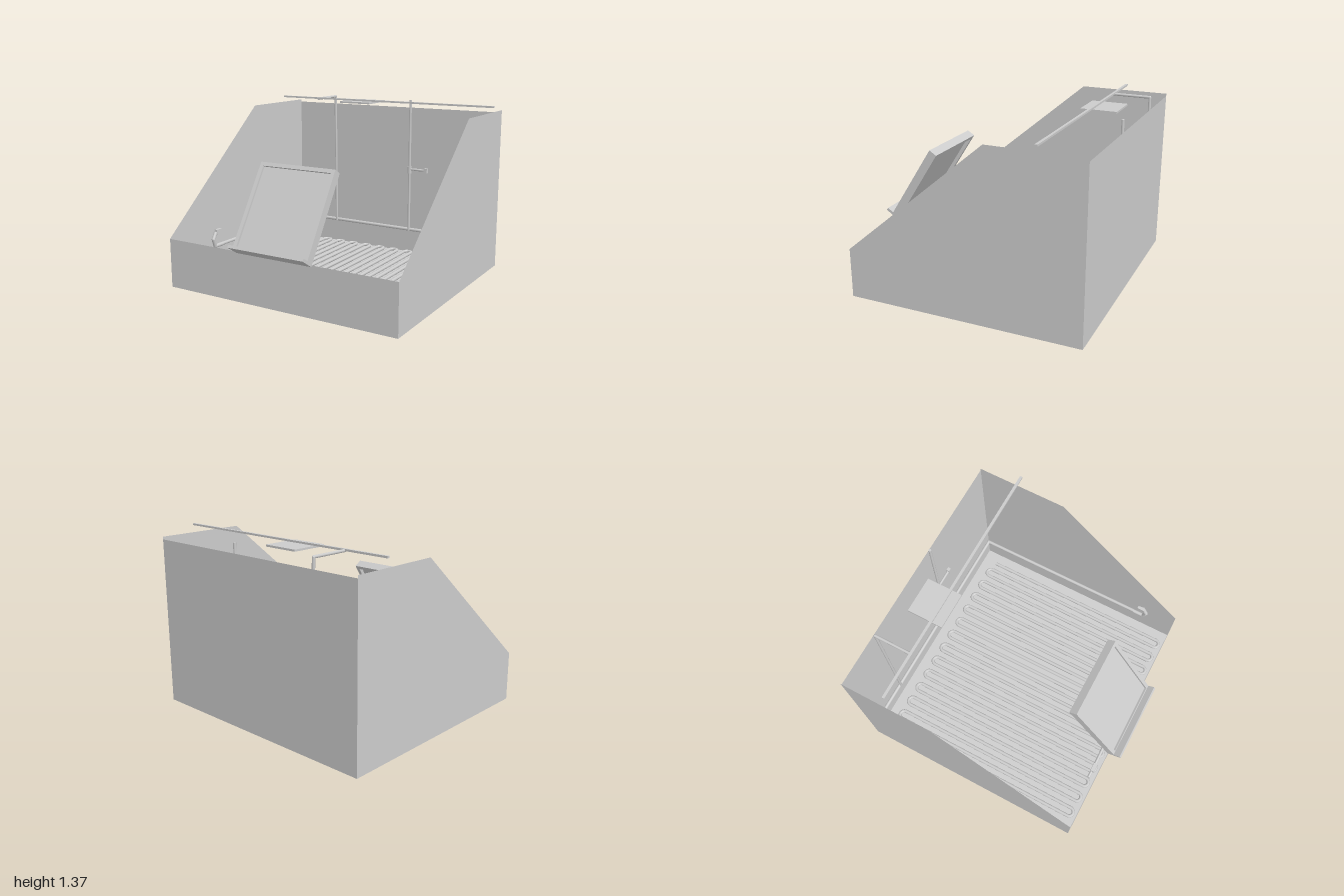
import * as THREE from 'three';

const mat = new THREE.MeshStandardMaterial({ color: 0xcccccc, side: THREE.DoubleSide });
const v = (x, y, z) => new THREE.Vector3(x, y, z);

function add(parent, name, geometry, x = 0, y = 0, z = 0) {
  const mesh = new THREE.Mesh(geometry, mat);
  mesh.name = name;
  mesh.position.set(x, y, z);
  parent.add(mesh);
  return mesh;
}

const box = (parent, name, w, h, d, x, y, z) =>
  add(parent, name, new THREE.BoxGeometry(w, h, d), x, y, z);

// Straight pipe segments joined by small balls at the bends
function pipe(parent, name, r, points) {
  const group = new THREE.Group();
  group.name = name;
  parent.add(group);
  points.slice(1).forEach((b, i) => {
    const a = points[i];
    const mid = a.clone().add(b).multiplyScalar(0.5);
    const rod = add(group, name, new THREE.CylinderGeometry(r, r, a.distanceTo(b), 10), mid.x, mid.y, mid.z);
    rod.quaternion.setFromUnitVectors(v(0, 1, 0), b.clone().sub(a).normalize());
    if (i > 0) add(group, 'elbow', new THREE.SphereGeometry(r, 10, 6), a.x, a.y, a.z);
  });
  return group;
}

// Open tub with sloping side walls
function tub(root) {
  const L = -1, R = 0.95, B = -0.953, F = 0.855, W = R - L, D = F - B;
  const cx = (L + R) / 2, cz = (F + B) / 2;
  const side = new THREE.Shape([[F, 0], [F, 0.383], [-0.24, 1.31], [B, 1.31], [B, 0]]
    .map(([z, y]) => new THREE.Vector2(-z, y)));
  for (const x of [L, R]) {
    add(root, 'sideWall', new THREE.ShapeGeometry(side), x).rotation.y = Math.PI / 2;
  }
  add(root, 'floor', new THREE.PlaneGeometry(W, D), cx, 0, cz).rotation.x = -Math.PI / 2;
  add(root, 'backWall', new THREE.PlaneGeometry(W, 1.29), cx, 0.645, B);
  add(root, 'frontWall', new THREE.PlaneGeometry(W, 0.383), cx, 0.1915, F);
}

// Serpentine tube lying on the floor
function coil(root) {
  const group = new THREE.Group();
  group.name = 'floorCoil';
  root.add(group);
  const runs = 26, pitch = 0.069, x0 = -0.88, z0 = -0.825, z1 = 0.785, r = 0.014, y = 0.03;
  for (let i = 0; i < runs; i++) {
    const x = x0 + i * pitch;
    pipe(group, 'coilRun', r, [v(x, y, z0), v(x, y, z1)]);
    if (i === runs - 1) break;
    const front = i % 2 === 0;
    const bend = add(group, 'coilBend', new THREE.TorusGeometry(pitch / 2, r, 8, 12, Math.PI),
      x + pitch / 2, y, front ? z1 : z0);
    bend.rotation.x = front ? Math.PI / 2 : -Math.PI / 2;
  }
}

// Tilted framed panel standing on a ledge at the front
function framedPanel(root) {
  const group = new THREE.Group();
  group.name = 'tiltedPanel';
  group.position.set(-0.03, 0.372, 0.858);
  group.rotation.x = -0.566;
  root.add(group);
  const w = 0.64, h = 0.692, t = 0.068, rim = 0.03;
  const rect = (shape, x, y0, y1) =>
    shape.moveTo(-x, y0).lineTo(x, y0).lineTo(x, y1).lineTo(-x, y1).closePath();
  const frame = rect(new THREE.Shape(), w / 2, 0, h);
  frame.holes.push(rect(new THREE.Path(), w / 2 - rim, rim, h - rim));
  add(group, 'panelFrame', new THREE.ExtrudeGeometry(frame, { depth: t, bevelEnabled: false }));
  box(group, 'panelSheet', w - 2 * rim, h - 2 * rim, 0.022, 0, h / 2, 0.04);
  box(group, 'ledge', w, 0.022, 0.124, 0, 0.011, 0.062);
}

// Tap fitting with an upturned outlet on a side wall
function wallTap(root, x, z, inward) {
  const group = new THREE.Group();
  group.name = 'wallTap';
  root.add(group);
  pipe(group, 'tapBody', 0.016, [v(x, 0.21, z), v(x, 0.21, z + 0.09), v(x, 0.27, z + 0.11), v(x, 0.34, z + 0.07)]);
  box(group, 'tapHandle', 0.024, 0.02, 0.06, x + inward * 0.012, 0.34, z + 0.06);
}

export function createModel() {
  const root = new THREE.Group();
  root.name = 'tubWithPiping';
  tub(root);
  coil(root);
  framedPanel(root);

  // Supply pipe around the walls, ending in a tap on each side
  pipe(root, 'supplyPipe', 0.014, [v(-0.975, 0.21, 0.28), v(-0.975, 0.21, -0.939),
    v(0.93, 0.21, -0.939), v(0.93, 0.21, 0.5)]);
  wallTap(root, -0.972, 0.28, 1);
  wallTap(root, 0.927, 0.5, -1);

  // Risers on the back wall, one carrying the arm of the overhead bar
  pipe(root, 'riserWithArm', 0.011, [v(-0.595, 0.2, -0.93), v(-0.6, 1.358, -0.915), v(-0.6, 1.358, -0.625)]);
  pipe(root, 'riser', 0.011, [v(0.15, 0.2, -0.93), v(0.15, 1.358, -0.92)]);

  // Overhead bar and flat head
  box(root, 'overheadBar', 1.96, 0.014, 0.02, 0.02, 1.363, -0.626);
  box(root, 'overheadPlate', 0.28, 0.014, 0.275, -0.19, 1.348, -0.678);

  // Valve with lever on the second riser
  pipe(root, 'valveBody', 0.018, [v(0.15, 0.72, -0.925), v(0.15, 0.78, -0.925)]);
  pipe(root, 'valveLever', 0.01, [v(0.15, 0.755, -0.925), v(0.31, 0.755, -0.925)]);
  box(root, 'valveGrip', 0.03, 0.04, 0.025, 0.305, 0.755, -0.925);

  // Small inlet valve by the front end of the coil
  pipe(root, 'inletPipe', 0.012, [v(-0.53, 0.07, 0.8), v(-0.36, 0.07, 0.8), v(0.31, 0.07, 0.78)]);
  box(root, 'inletValve', 0.07, 0.035, 0.03, -0.44, 0.08, 0.805);
  return root;
}
